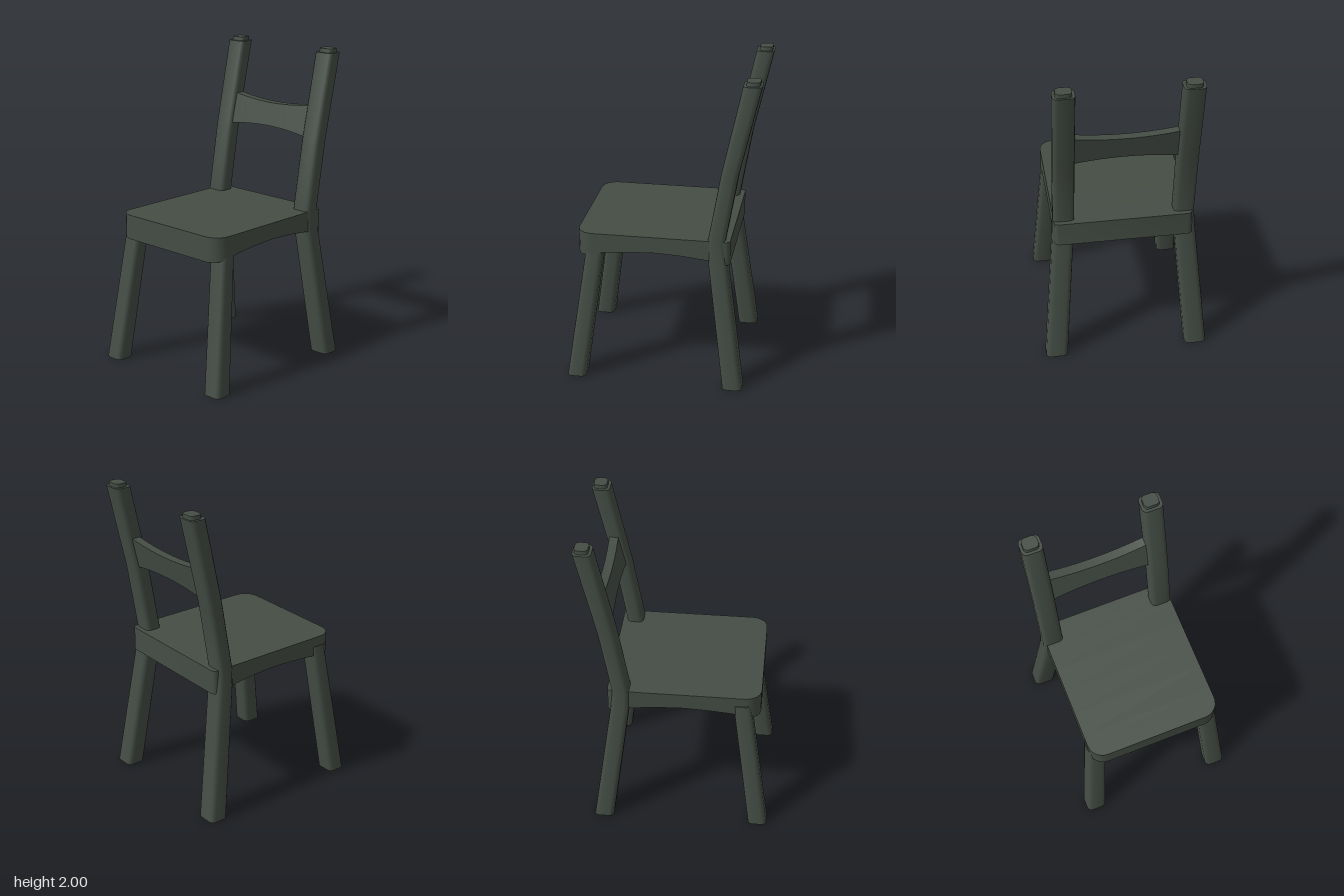
import * as THREE from 'three';
import { toCreasedNormals } from 'three/addons/utils/BufferGeometryUtils.js';

const material = new THREE.MeshStandardMaterial({ color: 0x454d45 });

// Skin a row of equal-length rings and cap both ends.
// Rings run counter-clockwise as seen from the far end.
function loft(rings) {
  const n = rings[0].length;
  const last = (rings.length - 1) * n;
  const index = [];
  for (let i = 0; i < rings.length - 1; i++) {
    for (let j = 0; j < n; j++) {
      const a = i * n + j, b = i * n + (j + 1) % n;
      index.push(a, b, b + n, a, b + n, a + n);
    }
  }
  for (let j = 1; j < n - 1; j++) {
    index.push(0, j + 1, j, last, last + j, last + j + 1);
  }
  const geometry = new THREE.BufferGeometry();
  geometry.setAttribute('position', new THREE.Float32BufferAttribute(rings.flat(2), 3));
  geometry.setIndex(index);
  return toCreasedNormals(geometry, 0.6);
}

// Horizontal rounded rectangle centred on x, y, z.
function section(x, y, z, width, depth, radius = 0.03) {
  const ring = [];
  for (let corner = 0; corner < 4; corner++) {
    const sx = corner < 2 ? 1 : -1;
    const sz = corner === 0 || corner === 3 ? 1 : -1;
    for (let k = 0; k <= 3; k++) {
      const a = (corner + k / 3) * Math.PI / 2;
      ring.push([
        x + sx * (width / 2 - radius) + radius * Math.sin(a),
        y,
        z + sz * (depth / 2 - radius) + radius * Math.cos(a),
      ]);
    }
  }
  return ring;
}

// Seat slab: rounded corners in plan, arched along the underside.
function seatGeometry() {
  const x0 = -0.53, x1 = 0.43, half = 0.433, offset = 0.007;
  const frontRadius = 0.1, backRadius = 0.03;
  const underside = [[-0.53, 0.825], [-0.43, 0.84], [-0.36, 0.858], [-0.2, 0.872],
    [-0.04, 0.879], [0.12, 0.872], [0.28, 0.855], [0.35, 0.84], [0.43, 0.827]];
  const bottomAt = (x) => {
    let i = 1;
    while (i < underside.length - 1 && underside[i][0] < x) i++;
    const [a, b] = [underside[i - 1], underside[i]];
    return THREE.MathUtils.mapLinear(x, a[0], b[0], a[1], b[1]);
  };
  const stations = [];
  for (let k = 0; k <= 6; k++) {
    const a = k / 6 * Math.PI / 2;
    stations.push([x0 + frontRadius * (1 - Math.cos(a)), half - frontRadius * (1 - Math.sin(a))]);
  }
  for (const [x] of underside.slice(2, -1)) stations.push([x, half]);
  for (let k = 0; k <= 4; k++) {
    const a = k / 4 * Math.PI / 2;
    stations.push([x1 - backRadius * (1 - Math.sin(a)), half - backRadius * (1 - Math.cos(a))]);
  }
  return loft(stations.map(([x, w]) => {
    const y = bottomAt(x);
    return [[x, y, offset - w], [x, 0.983, offset - w], [x, 0.983, offset + w], [x, y, offset + w]];
  }));
}

// Back rail: leans with the posts and narrows towards its middle.
function railGeometry() {
  const rings = [];
  const frontX = (y) => 0.395 + 0.23 * (y - 1.44);
  for (let i = 0; i <= 12; i++) {
    const z = -0.34 + 0.68 * i / 12;
    const flare = 0.025 * (z / 0.31) ** 2;
    const top = 1.612 + flare, bottom = 1.465 - flare;
    const a = frontX(bottom), b = frontX(top);
    rings.push([[a, bottom, z], [a + 0.057, bottom, z], [b + 0.057, top, z], [b, top, z]]);
  }
  return loft(rings);
}

export function createModel() {
  const chair = new THREE.Group();
  chair.name = 'chair';
  const add = (name, geometry) => {
    const mesh = new THREE.Mesh(geometry, material);
    mesh.name = name;
    chair.add(mesh);
  };

  add('seat', seatGeometry());
  add('backRail', railGeometry());

  for (const [side, s] of [['Left', 1], ['Right', -1]]) {
    // Splayed front leg, ending inside the seat
    add('frontLeg' + side, loft([
      section(-0.54, 0, s * 0.445, 0.12, 0.13),
      section(-0.412, 0.92, s * 0.372, 0.11, 0.12),
    ]));
    // Back leg and post in one bent piece
    add('backLeg' + side, loft([
      section(0.467, 0, s * 0.456, 0.125, 0.14),
      section(0.351, 0.86, s * 0.384, 0.116, 0.132),
      section(0.345, 0.98, s * 0.377, 0.107, 0.133),
      section(0.42, 1.42, s * 0.377, 0.106, 0.133),
      section(0.543, 1.975, s * 0.377, 0.112, 0.133),
    ]));
    // Small stepped tip on the post
    add('postTip' + side, loft([
      section(0.544, 1.96, s * 0.377, 0.085, 0.1, 0.025),
      section(0.547, 2, s * 0.377, 0.082, 0.096, 0.025),
    ]));
  }
  return chair;
}
